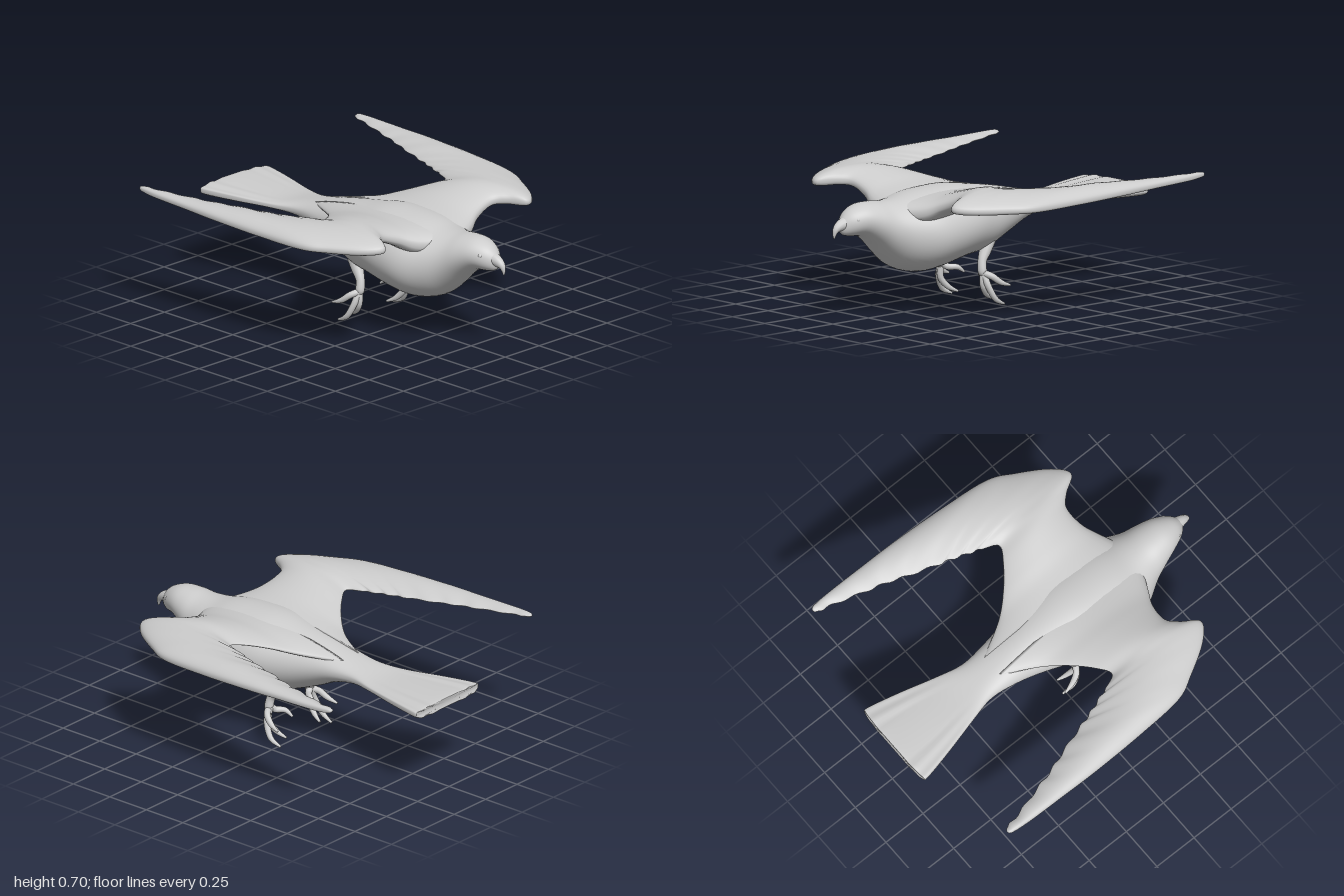
import * as THREE from 'three';

const V = (x, y, z) => new THREE.Vector3(x, y, z);

// Smoothly resample rows of numbers (Catmull-Rom on every column)
function resample(rows, steps) {
  const out = [], n = rows.length - 1;
  for (let s = 0; s <= n * steps; s++) {
    const i = Math.min(Math.floor(s / steps), n - 1), t = s / steps - i;
    const a = rows[Math.max(i - 1, 0)], b = rows[i], c = rows[i + 1], d = rows[Math.min(i + 2, n)];
    out.push(b.map((_, k) => 0.5 * (2 * b[k] + (c[k] - a[k]) * t
      + (2 * a[k] - 5 * b[k] + 4 * c[k] - d[k]) * t * t
      + (3 * b[k] - a[k] - 3 * c[k] + d[k]) * t * t * t)));
  }
  return out;
}

// Closed skin over a list of rings, capped at both ends and facing outward
function loft(rings) {
  const m = rings[0].length, pts = rings.flat(), index = [];
  for (let r = 0; r < rings.length - 1; r++) {
    for (let i = 0; i < m; i++) {
      const a = r * m + i, b = r * m + (i + 1) % m;
      index.push(a, b, a + m, b, b + m, a + m);
    }
  }
  [0, rings.length - 1].forEach((r, end) => {
    const centre = V(0, 0, 0);
    rings[r].forEach(p => centre.addScaledVector(p, 1 / m));
    const c = pts.push(centre) - 1;
    for (let i = 0; i < m; i++) {
      const a = r * m + i, b = r * m + (i + 1) % m;
      index.push(...(end ? [c, a, b] : [c, b, a]));
    }
  });
  let volume = 0;
  for (let i = 0; i < index.length; i += 3) {
    volume += pts[index[i]].dot(V(0, 0, 0).crossVectors(pts[index[i + 1]], pts[index[i + 2]]));
  }
  if (volume < 0) index.reverse();
  const g = new THREE.BufferGeometry().setFromPoints(pts);
  g.setIndex(index);
  g.computeVertexNormals();
  return g;
}

// Tapered limb; rows are [x, y, z, radius]
function limb(rows, sides = 12) {
  const path = resample(rows, 5);
  const c = path.map(p => V(p[0], p[1], p[2]));
  return loft(path.map((p, i) => {
    const dir = c[Math.min(i + 1, c.length - 1)].clone().sub(c[Math.max(i - 1, 0)]).normalize();
    const u = V(1, 0, 0).addScaledVector(dir, -dir.x).normalize();
    const v = V(0, 0, 0).crossVectors(dir, u);
    return Array.from({ length: sides }, (_, k) => {
      const a = k / sides * Math.PI * 2;
      return c[i].clone().addScaledVector(u, Math.cos(a) * p[3]).addScaledVector(v, Math.sin(a) * p[3]);
    });
  }));
}

function mirrored(geometry) {
  const g = geometry.clone().scale(-1, 1, 1);
  g.setIndex(Array.from(g.index.array).reverse());
  g.computeVertexNormals();
  return g;
}

// Head, trunk and fanned tail: [z, half width, bottom, top, squareness]
function bodyGeometry() {
  const rows = [
    [0.945, 0.012, 0.485, 0.53, 1], [0.93, 0.036, 0.465, 0.555, 1], [0.89, 0.07, 0.455, 0.592, 1],
    [0.82, 0.103, 0.445, 0.618, 1], [0.74, 0.13, 0.39, 0.62, 1], [0.66, 0.158, 0.315, 0.612, 1],
    [0.57, 0.21, 0.245, 0.615, 1], [0.46, 0.265, 0.215, 0.635, 1], [0.34, 0.278, 0.225, 0.645, 1],
    [0.18, 0.262, 0.255, 0.645, 1], [0.02, 0.215, 0.275, 0.62, 1], [-0.14, 0.165, 0.335, 0.592, 1],
    [-0.28, 0.135, 0.4, 0.56, 0.95], [-0.43, 0.12, 0.44, 0.528, 0.8], [-0.58, 0.152, 0.46, 0.506, 0.55],
    [-0.78, 0.203, 0.46, 0.508, 0.45], [-0.98, 0.248, 0.458, 0.514, 0.5], [-1.0, 0.235, 0.468, 0.506, 0.5],
  ];
  const power = (n, e) => Math.sign(n) * Math.pow(Math.abs(n), e);
  return loft(resample(rows, 4).map(([z, w, low, high, e]) => Array.from({ length: 64 }, (_, i) => {
    const a = i / 64 * Math.PI * 2, x = power(Math.cos(a), e);
    const fan = THREE.MathUtils.smoothstep(-z, 0.5, 0.9);
    const ridge = fan * 0.003 * Math.cos(x * Math.PI * 6);
    const y = (low + high) / 2 + (high - low) / 2 * power(Math.sin(a), e) + ridge;
    return V(w * x, y, Math.max(z, -1) + fan * 0.012 * x ** 4);
  })));
}

// Swept wing between a leading and a trailing rail:
// [lead x, y, z, trail x, y, z, thickness]
function wingGeometry() {
  const rows = [
    [0.03, 0.54, 0.64, 0.06, 0.535, -0.34, 0.15], [0.19, 0.552, 0.565, 0.165, 0.555, -0.15, 0.155],
    [0.29, 0.592, 0.515, 0.27, 0.592, -0.03, 0.12], [0.4, 0.63, 0.505, 0.38, 0.625, 0.06, 0.095],
    [0.465, 0.638, 0.56, 0.46, 0.64, 0.1, 0.09], [0.53, 0.632, 0.645, 0.5, 0.643, 0.02, 0.09],
    [0.62, 0.626, 0.58, 0.53, 0.645, -0.06, 0.09], [0.72, 0.624, 0.42, 0.558, 0.645, -0.14, 0.085],
    [0.785, 0.625, 0.28, 0.585, 0.647, -0.23, 0.078], [0.81, 0.633, 0, 0.63, 0.65, -0.37, 0.07],
    [0.822, 0.645, -0.3, 0.672, 0.653, -0.49, 0.062], [0.822, 0.654, -0.55, 0.705, 0.657, -0.61, 0.05],
    [0.82, 0.66, -0.75, 0.748, 0.662, -0.76, 0.042], [0.812, 0.666, -0.86, 0.772, 0.667, -0.86, 0.03],
    [0.798, 0.668, -0.882, 0.786, 0.668, -0.882, 0.008],
  ];
  const steps = 6;
  return loft(resample(rows, steps).map((r, s) => {
    const lead = V(r[0], r[1], r[2]), trail = V(r[3], r[4], r[5]);
    // Stepped feather tips along the outer trailing edge
    const k = s / steps;
    if (k > 5 && k < 13) trail.x += 0.006 * Math.sin((k - 5) * Math.PI * 2);
    const arch = Math.min(0.03, lead.distanceTo(trail) * 0.07);
    return Array.from({ length: 36 }, (_, i) => {
      const a = i / 36 * Math.PI * 2, t = Math.pow((1 - Math.cos(a)) / 2, 1.35);
      const p = lead.clone().lerp(trail, t);
      p.y += r[6] / 2 * Math.sin(a) * (1 - 0.5 * t) + arch * Math.sin(Math.PI * t);
      return p;
    });
  }));
}

export function createModel() {
  const model = new THREE.Group();
  model.name = 'bird';
  const grey = new THREE.MeshStandardMaterial({ color: 0xcccccc });
  grey.name = 'plain grey';

  const add = (name, geometry) => {
    const mesh = new THREE.Mesh(geometry, grey);
    mesh.name = name;
    model.add(mesh);
  };
  const addPair = (name, geometry) => {
    add('left ' + name, geometry);
    add('right ' + name, mirrored(geometry));
  };

  add('body and tail', bodyGeometry());
  addPair('wing', wingGeometry());

  // Hooked beak
  add('beak', limb([[0, 0.53, 0.87, 0.045], [0, 0.518, 0.94, 0.031], [0, 0.5, 0.975, 0.02],
    [0, 0.475, 0.988, 0.011], [0, 0.452, 0.99, 0.004]]));

  // Small eyes set into the head
  const eye = new THREE.SphereGeometry(0.013, 16, 12);
  eye.translate(0.062, 0.545, 0.878);
  addPair('eye', eye);

  // Legs with four curled toes each
  addPair('leg', limb([[0.13, 0.34, 0.03, 0.042], [0.142, 0.29, 0.06, 0.033], [0.152, 0.24, 0.09, 0.024],
    [0.162, 0.185, 0.097, 0.024], [0.165, 0.165, 0.094, 0.01]]));
  const toes = {
    'outer front toe': [[0.16, 0.19, 0.09], [0.19, 0.12, 0.085], [0.207, 0.042, 0.045], [0.203, 0.008, -0.02]],
    'inner front toe': [[0.16, 0.19, 0.09], [0.165, 0.115, 0.095], [0.15, 0.06, 0.055], [0.133, 0.03, 0]],
    'inner hind toe': [[0.155, 0.19, 0.09], [0.13, 0.17, 0.075], [0.1, 0.167, 0.035], [0.09, 0.138, -0.005]],
    'outer hind toe': [[0.165, 0.18, 0.095], [0.205, 0.165, 0.07], [0.225, 0.13, 0.025], [0.237, 0.11, -0.03]],
  };
  const radii = [0.019, 0.018, 0.015, 0.006];
  for (const [name, path] of Object.entries(toes)) {
    addPair(name, limb(path.map((p, i) => [...p, radii[i]]), 10));
  }
  return model;
}
